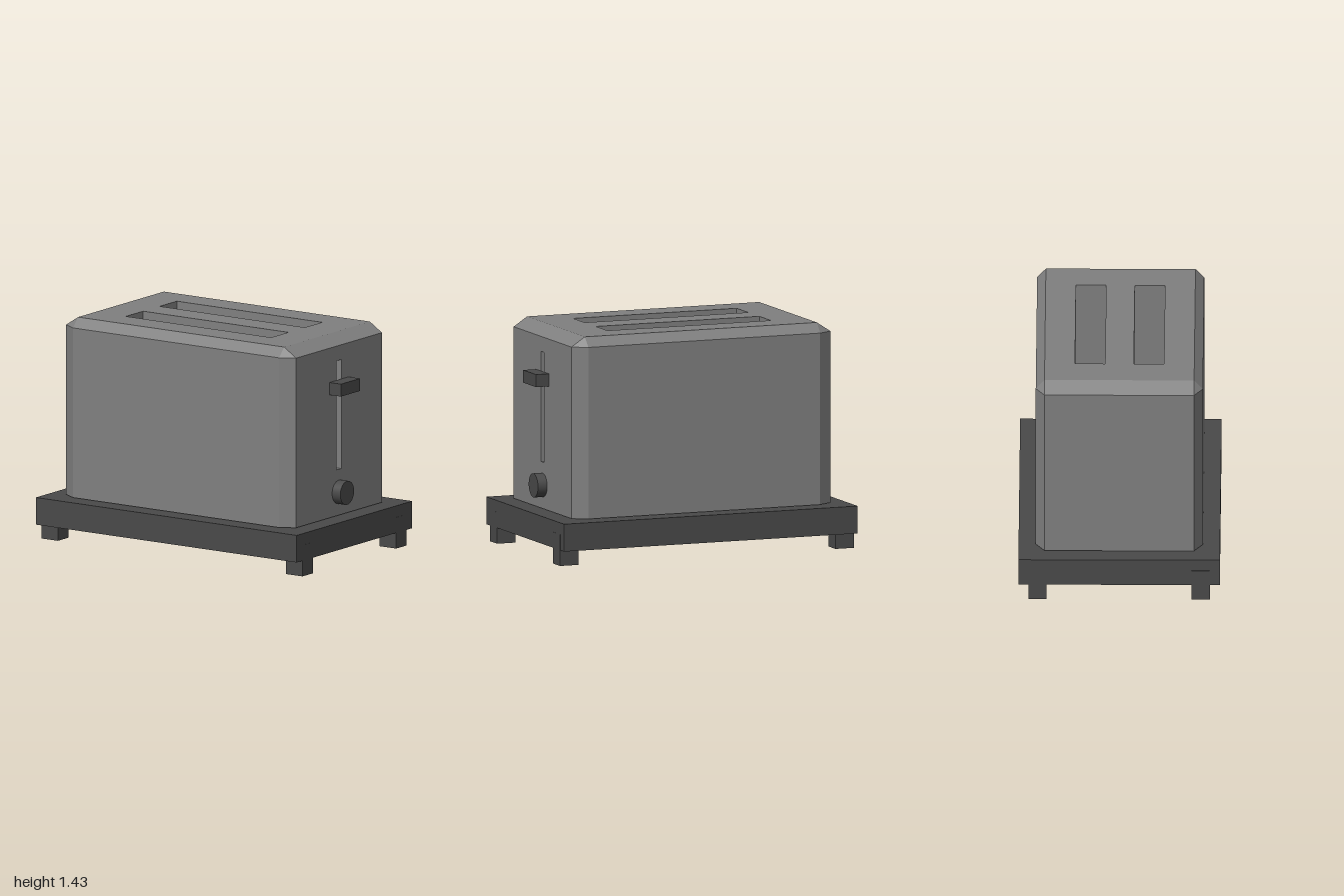
import * as THREE from 'three';

const bodyMat = new THREE.MeshStandardMaterial({ color: 0x808080, flatShading: true });
const darkMat = new THREE.MeshStandardMaterial({ color: 0x4a4a4a, flatShading: true });

function add(parent, name, geometry, material, x = 0, y = 0, z = 0) {
  const mesh = new THREE.Mesh(geometry, material);
  mesh.name = name;
  mesh.position.set(x, y, z);
  parent.add(mesh);
  return mesh;
}

// Rectangle outline, as a Shape or a Path for holes
function rect(Type, x0, y0, x1, y1) {
  return new Type([[x0, y0], [x1, y0], [x1, y1], [x0, y1]].map(p => new THREE.Vector2(...p)));
}

// Flat-shaded geometry from convex polygons
function polygons(list) {
  const pos = [];
  for (const p of list)
    for (let i = 1; i < p.length - 1; i++) pos.push(...p[0], ...p[i], ...p[i + 1]);
  const g = new THREE.BufferGeometry();
  g.setAttribute('position', new THREE.Float32BufferAttribute(pos, 3));
  g.computeVertexNormals();
  return g;
}

// Inward-facing box with one face left open (0 = +x, 2 = +y)
function well(w, h, d, open) {
  const g = new THREE.BoxGeometry(w, h, d);
  const idx = Array.from(g.index.array);
  idx.splice(open * 6, 6);
  g.setIndex(idx.reverse());
  g.computeVertexNormals();
  return g;
}

function createBody() {
  const body = new THREE.Group();
  body.name = 'body';
  const X = 0.882, Z = 0.525, a = 0.79, c = 0.47, y0 = 0.28, y1 = 1.37, y2 = 1.43;
  const ring = [[X, c], [a, Z], [-a, Z], [-X, c], [-X, -c], [-a, -Z], [a, -Z], [X, -c]];
  const top = [[a, c], [-a, c], [-a, -c], [a, -c]];
  const at = ([x, z], y) => [x, y, z];

  // Walls, bevelled shoulder and underside
  const faces = [ring.map(p => at(p, y0))];
  for (let i = 0; i < 8; i++) {
    const j = (i + 1) % 8, p = ring[i], q = ring[j];
    const tp = top[i >> 1], tq = top[j >> 1];
    if (i < 7) faces.push([at(q, y0), at(p, y0), at(p, y1), at(q, y1)]);
    const shoulder = [at(q, y1), at(p, y1), at(tp, y2)];
    if (tp !== tq) shoulder.push(at(tq, y2));
    faces.push(shoulder);
  }
  add(body, 'shell', polygons(faces), bodyMat);

  // Top panel with two bread slots
  const topShape = rect(THREE.Shape, -a, -c, a, c);
  const slotDepth = 0.9;
  for (const s of [-1, 1]) {
    const z = s * 0.185;
    topShape.holes.push(rect(THREE.Path, -0.557, z - 0.095, 0.557, z + 0.095));
    add(body, 'breadSlot', well(1.114, slotDepth, 0.19, 2), bodyMat, 0, y2 - slotDepth / 2, z);
  }
  add(body, 'topPanel', new THREE.ShapeGeometry(topShape).rotateX(-Math.PI / 2), bodyMat, 0, y2, 0);

  // End panel with the lever track
  const endShape = rect(THREE.Shape, -c, y0, c, y1);
  endShape.holes.push(rect(THREE.Path, -0.025, 0.575, 0.025, 1.275));
  add(body, 'endPanel', new THREE.ShapeGeometry(endShape).rotateY(Math.PI / 2), bodyMat, X, 0, 0);
  add(body, 'leverTrack', well(0.08, 0.7, 0.05, 0), bodyMat, X - 0.04, 0.925, 0);
  return body;
}

function createBase() {
  const base = new THREE.Group();
  base.name = 'base';
  const W = 1, D = 0.633, bottom = 0.1, mid = 0.185, topY = 0.274;
  add(base, 'plate', new THREE.BoxGeometry(2 * W, topY - mid, 2 * D), darkMat, 0, (mid + topY) / 2, 0);

  // Rim around the hollow underside
  const rim = rect(THREE.Shape, -W, -D, W, D);
  rim.holes.push(rect(THREE.Path, -W + 0.12, -D + 0.08, W - 0.12, D - 0.08));
  const rimGeo = new THREE.ExtrudeGeometry(rim, { depth: mid - bottom, bevelEnabled: false });
  add(base, 'rim', rimGeo.rotateX(-Math.PI / 2), darkMat, 0, bottom, 0);

  // Four feet, let into the ends of the rim
  for (const sx of [-1, 1])
    for (const sz of [-1, 1])
      add(base, 'foot', new THREE.BoxGeometry(0.126, 0.2, 0.115), darkMat, sx * 0.938, 0.1, sz * 0.513);
  return base;
}

export function createModel() {
  const model = new THREE.Group();
  model.name = 'toaster';
  model.add(createBase(), createBody());
  add(model, 'lever', new THREE.BoxGeometry(0.09, 0.08, 0.21), darkMat, 0.925, 1.11, 0);
  const knobMat = darkMat.clone();
  knobMat.flatShading = false;
  const knob = new THREE.CylinderGeometry(0.076, 0.076, 0.065, 32).rotateZ(-Math.PI / 2);
  add(model, 'knob', knob, knobMat, 0.912, 0.43, 0);
  return model;
}
